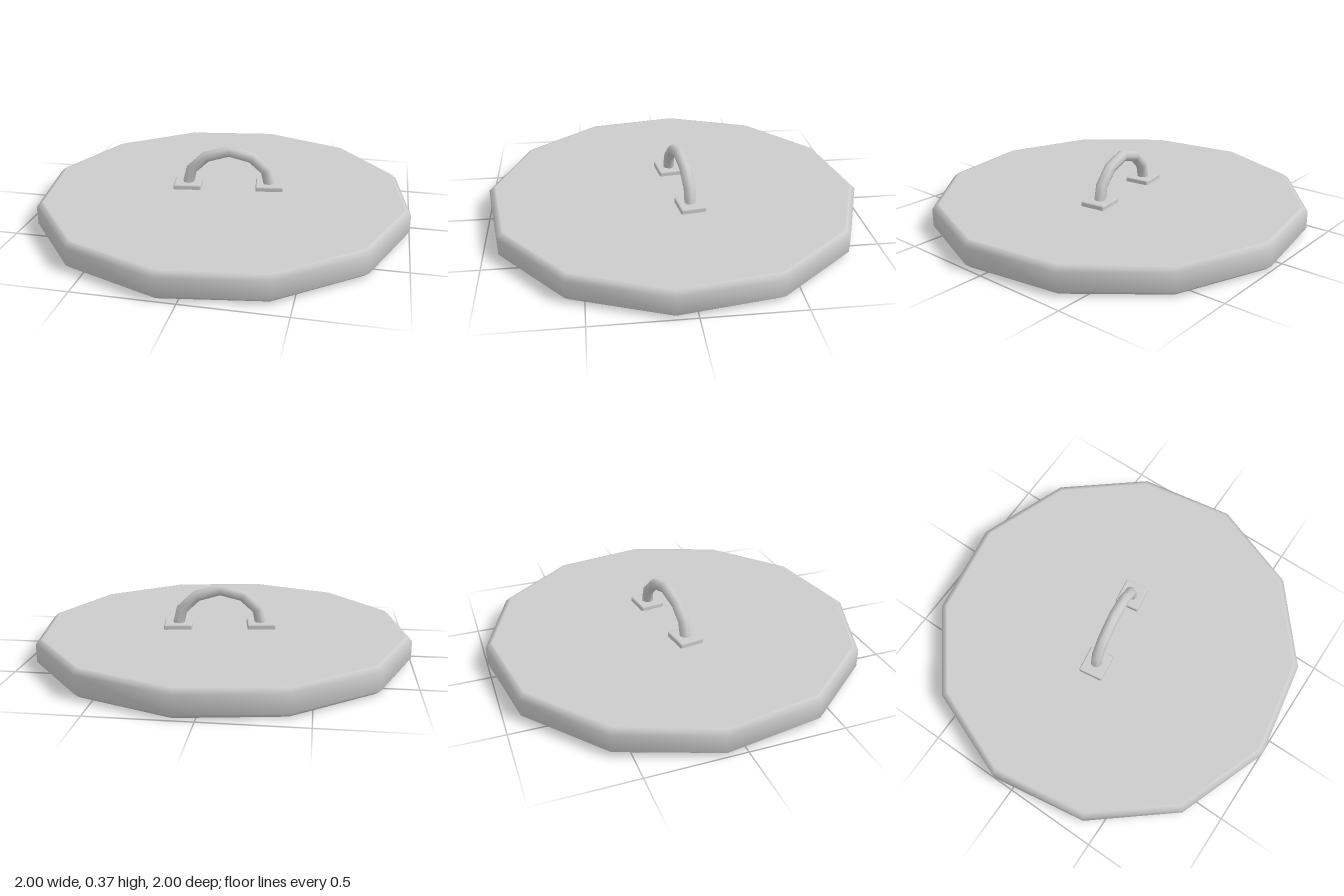
import * as THREE from 'three';
import { RoundedBoxGeometry } from 'three/addons/geometries/RoundedBoxGeometry.js';

const grey = new THREE.MeshStandardMaterial({ color: 0xcccccc });

function add(parent, name, geometry) {
  const mesh = new THREE.Mesh(geometry, grey);
  mesh.name = name;
  parent.add(mesh);
  return mesh;
}

export function createModel() {
  const model = new THREE.Group();
  model.name = 'lid';

  // Twelve-sided disc with a narrow chamfer on both rims; extra rings keep the caps flat
  const profile = [
    [0, 0], [0.965, 0], [0.975, 0], [1.005, 0.025],
    [1.005, 0.118], [0.98, 0.14], [0.97, 0.14], [0, 0.14],
  ].map(([r, y]) => new THREE.Vector2(r, y));
  add(model, 'disc', new THREE.LatheGeometry(profile, 12, THREE.MathUtils.degToRad(24)));

  // Handle assembly, slightly off centre and turned
  const handle = new THREE.Group();
  handle.name = 'handle';
  handle.position.set(0.018, 0, -0.032);
  handle.rotation.y = 0.142;
  model.add(handle);

  // Mounting plates
  for (const side of [-1, 1]) {
    const plate = add(handle, side < 0 ? 'rightPlate' : 'leftPlate',
      new RoundedBoxGeometry(0.15, 0.05, 0.135, 1, 0.008));
    plate.position.set(side * 0.224, 0.14, 0);
  }

  // Arched grip, one tube ring per path point
  const path = new THREE.CatmullRomCurve3([
    [-0.224, 0.15], [-0.205, 0.235], [-0.125, 0.309], [0, 0.343],
    [0.125, 0.309], [0.205, 0.235], [0.224, 0.15],
  ].map(([x, y]) => new THREE.Vector3(x, y, 0)), false, 'catmullrom');
  path.getUtoTmapping = (u) => u;
  add(handle, 'grip', new THREE.TubeGeometry(path, 6, 0.031, 8, false));

  return model;
}
